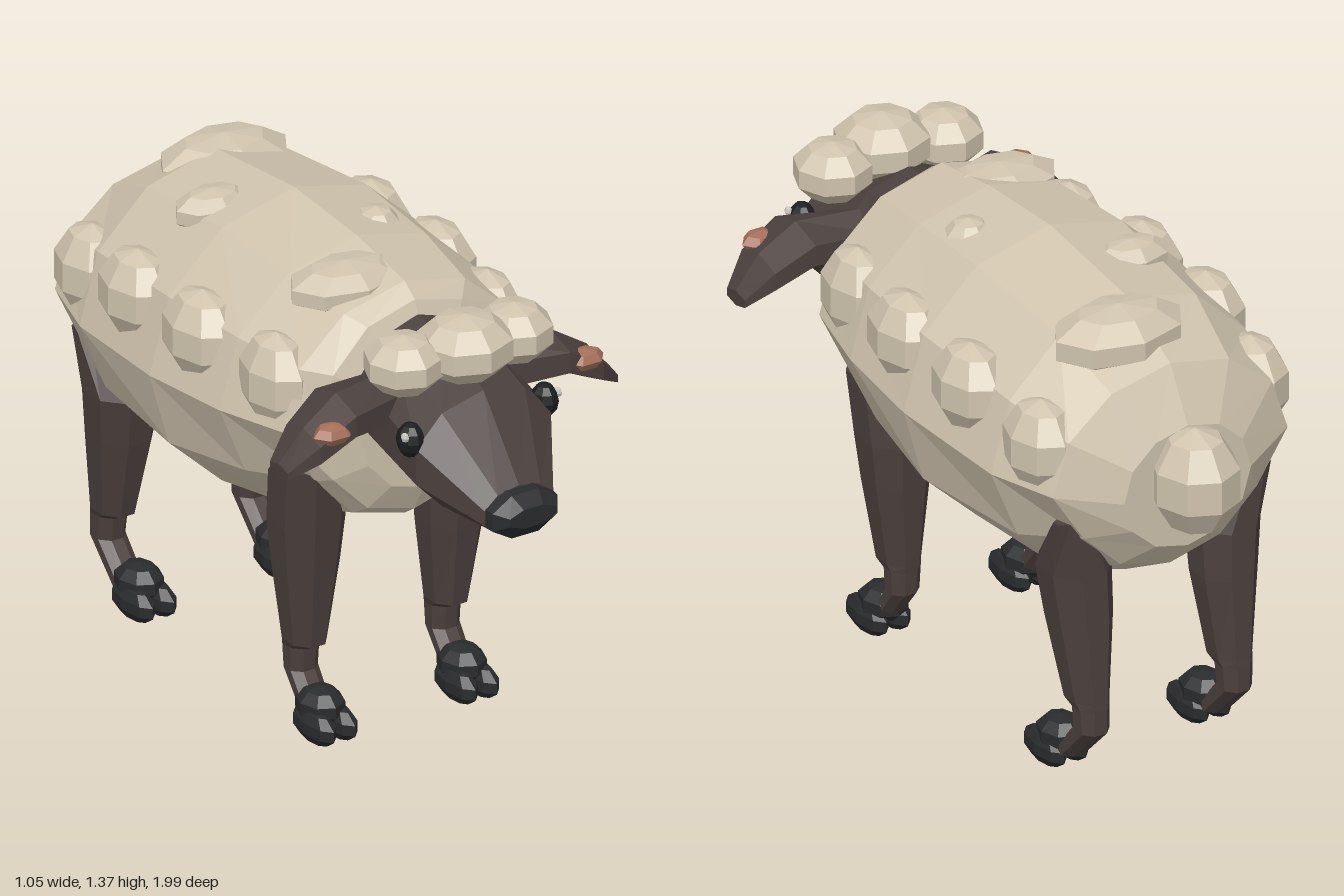
import * as THREE from 'three';

const mat = (name, color) => {
  const m = new THREE.MeshStandardMaterial({ color });
  m.name = name;
  return m;
};

// Maps a section point (u, v) at distance w along the loft to model space.
const AXES = {
  z: (u, v, w) => [u, v, w],
  down: (u, v, w) => [u, -w, v],
  x: (u, v, w) => [w, u, v],
  minusX: (u, v, w) => [-w, u, v],
};

// Faceted, capped loft. Section: [w, centreU, centreV, radiusU, radiusV, lower width factor]
function loft(axis, sides, sections, turn = 0) {
  const map = AXES[axis], pos = [];
  const rings = sections.map(([w, cu, cv, ru, rv, low = 1]) =>
    Array.from({ length: sides }, (_, j) => {
      const a = ((j + turn) / sides) * Math.PI * 2;
      const s = Math.sin(a), k = s < -0.01 ? low : 1;
      return map(cu + ru * k * Math.cos(a), cv + rv * s, w);
    }));
  const tri = (a, b, c) => {
    if (axis === 'minusX') pos.push(...a, ...c, ...b);
    else pos.push(...a, ...b, ...c);
  };
  const first = sections[0], last = sections[sections.length - 1], end = rings.length - 1;
  const start = map(first[1], first[2], first[0]), stop = map(last[1], last[2], last[0]);
  for (let j = 0; j < sides; j++) {
    const n = (j + 1) % sides;
    for (let i = 0; i < end; i++) {
      tri(rings[i][j], rings[i][n], rings[i + 1][n]);
      tri(rings[i][j], rings[i + 1][n], rings[i + 1][j]);
    }
    tri(start, rings[0][n], rings[0][j]);
    tri(stop, rings[end][j], rings[end][n]);
  }
  const g = new THREE.BufferGeometry();
  g.setAttribute('position', new THREE.Float32BufferAttribute(pos, 3));
  g.computeVertexNormals();
  return g;
}

// Faceted ellipsoid
function blob(x, y, z, rx, ry, rz, w = 8, h = 5) {
  const g = new THREE.SphereGeometry(1, w, h).toNonIndexed();
  g.scale(rx, ry, rz).translate(x, y, z);
  g.computeVertexNormals();
  return g;
}

export function createModel() {
  const wool = mat('wool', 0xd0c4ae);
  const skin = mat('dark skin', 0x4b403d);
  const horn = mat('hoof and nose', 0x2a2b2d);
  const black = mat('eye black', 0x1b1e21);
  const pink = mat('inner ear', 0xa56f5a);
  const glint = mat('eye glint', 0xc8c8c0);

  const sheep = new THREE.Group();
  sheep.name = 'sheep';
  const add = (name, geometry, material) => {
    const m = new THREE.Mesh(geometry, material);
    m.name = name;
    sheep.add(m);
  };

  // Fleece body, rump to chest
  add('body', loft('z', 12, [
    [-0.825, 0, 0.89, 0.2, 0.18],
    [-0.74, 0, 0.92, 0.37, 0.3, 0.85],
    [-0.53, 0, 0.915, 0.43, 0.41, 0.93],
    [-0.15, 0, 0.937, 0.46, 0.433],
    [0.15, 0, 0.953, 0.435, 0.4, 0.94],
    [0.38, 0, 0.97, 0.385, 0.345, 0.85],
    [0.43, 0, 0.97, 0.3, 0.31],
    [0.47, 0, 0.96, 0.2, 0.22],
  ]), wool);
  add('tail', blob(0, 0.925, -0.86, 0.125, 0.155, 0.14), wool);

  // Wool tufts on the back
  [
    [0.055, 1.25, -0.57, 0.205, 0.09, 0.14],
    [-0.1, 1.285, 0.25, 0.18, 0.065, 0.12],
    [-0.16, 1.29, -0.3, 0.12, 0.06, 0.08],
    [0.14, 1.29, 0.03, 0.07, 0.06, 0.07],
  ].forEach((b) => add('backTuft', blob(...b), wool));

  // Head, nose and forelock
  add('head', loft('z', 10, [
    [0.42, 0, 1.045, 0.2, 0.2],
    [0.54, 0, 1.035, 0.22, 0.195],
    [0.76, 0, 0.98, 0.225, 0.17],
    [0.93, 0, 0.87, 0.115, 0.07],
  ], 0.5), skin);
  add('nose', loft('z', 8, [
    [0.9, 0, 0.87, 0.118, 0.072],
    [0.96, 0, 0.868, 0.112, 0.068],
    [1.0, 0, 0.875, 0.08, 0.03],
  ], 0.5), horn);
  add('forelock', blob(0, 1.245, 0.67, 0.14, 0.095, 0.135), wool);

  for (const s of [1, -1]) {
    const side = s > 0 ? 'left' : 'right';

    add(side + 'Forelock', blob(s * 0.175, 1.228, 0.64, 0.112, 0.085, 0.115), wool);

    // Flank tufts
    [
      [0.335, 1.07, 0.27, 0.09, 0.14, 0.13],
      [0.37, 1.09, -0.03, 0.1, 0.13, 0.14],
      [0.37, 1.08, -0.34, 0.1, 0.13, 0.135],
      [0.33, 1.02, -0.62, 0.1, 0.135, 0.125],
    ].forEach(([x, ...rest]) => add(side + 'FlankTuft', blob(s * x, ...rest), wool));

    // Drooping ear
    add(side + 'Ear', loft(s > 0 ? 'x' : 'minusX', 6, [
      [0.16, 1.08, 0.53, 0.075, 0.09],
      [0.34, 1.095, 0.565, 0.06, 0.115],
      [0.45, 1.035, 0.575, 0.05, 0.095],
      [0.525, 0.975, 0.57, 0.022, 0.05],
    ]), skin);
    add(side + 'InnerEar', blob(s * 0.4, 1.082, 0.64, 0.06, 0.03, 0.045, 6, 4), pink);

    // Eye
    add(side + 'Eye', blob(s * 0.213, 1.05, 0.73, 0.038, 0.05, 0.042, 8, 6), black);
    add(side + 'EyeGlint', blob(s * 0.243, 1.072, 0.75, 0.011, 0.014, 0.014, 6, 4), glint);

    // Legs: sections run from hip to ankle
    const x = s * 0.225;
    add(side + 'FrontLeg', loft('down', 8, [
      [-0.815, s * 0.245, 0.28, 0.1, 0.115],
      [-0.63, s * 0.23, 0.255, 0.105, 0.115],
      [-0.5, s * 0.228, 0.25, 0.092, 0.1],
      [-0.26, x, 0.24, 0.058, 0.072],
      [-0.24, x, 0.222, 0.05, 0.05],
      [-0.17, x, 0.222, 0.047, 0.044],
      [-0.08, x, 0.29, 0.045, 0.04],
    ], 0.5), skin);
    add(side + 'BackLeg', loft('down', 8, [
      [-0.815, s * 0.285, -0.7, 0.055, 0.03],
      [-0.64, s * 0.235, -0.63, 0.1, 0.115],
      [-0.5, s * 0.228, -0.645, 0.09, 0.105],
      [-0.26, x, -0.68, 0.058, 0.075],
      [-0.24, x, -0.7, 0.05, 0.055],
      [-0.17, x, -0.705, 0.047, 0.05],
      [-0.06, x, -0.6, 0.045, 0.045],
    ], 0.5), skin);

    // Cloven hooves
    for (const [name, z] of [['Front', 0.33], ['Back', -0.54]]) {
      add(side + name + 'Hoof', blob(x, 0.095, z - 0.015, 0.066, 0.053, 0.08), horn);
      for (const t of [-1, 1]) {
        add(side + name + 'Toe', blob(x + t * 0.034, 0.05, z + 0.01, 0.037, 0.05, 0.098), horn);
      }
    }
  }
  return sheep;
}
